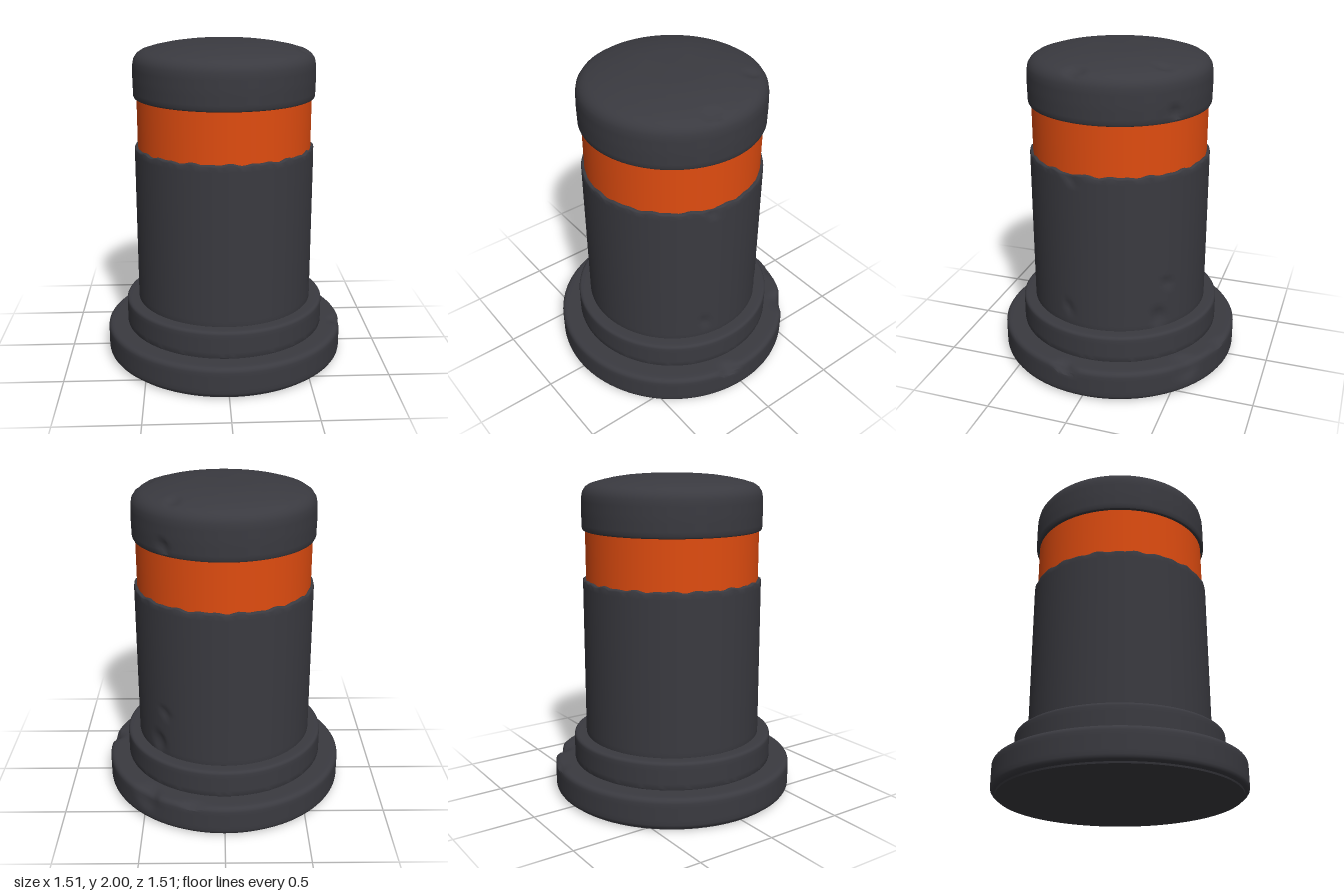
import * as THREE from 'three';
import { mergeVertices, toCreasedNormals } from 'three/addons/utils/BufferGeometryUtils.js';

const SEGMENTS = 128;

// Drum outline from the axis at the bottom to the axis at the top, with rounded rims
function drumProfile(r, y0, y1, bevel) {
  const pts = [[0, y0]];
  for (let i = 0; i <= 4; i++) {
    const a = (i / 4) * Math.PI / 2;
    pts.push([r - bevel + bevel * Math.sin(a), y0 + bevel - bevel * Math.cos(a)]);
  }
  for (let i = 0; i <= 4; i++) {
    const a = (i / 4) * Math.PI / 2;
    pts.push([r - bevel + bevel * Math.cos(a), y1 - bevel + bevel * Math.sin(a)]);
  }
  pts.push([0, y1]);
  return pts;
}

// Split long profile edges so that chips have vertices to move
function subdivide(pts, step = 0.03) {
  const out = [];
  pts.forEach(([x, y], i) => {
    if (i > 0) {
      const [px, py] = pts[i - 1];
      const n = Math.ceil(Math.hypot(x - px, y - py) / step);
      for (let k = 1; k < n; k++) out.push(new THREE.Vector2(px + (x - px) * k / n, py + (y - py) * k / n));
    }
    out.push(new THREE.Vector2(x, y));
  });
  return out;
}

// Each chip: at = centre, size = reach, push = displacement at the centre
function worn(profile, chips = [], rimWobble = null) {
  let geo = new THREE.LatheGeometry(subdivide(profile), SEGMENTS);
  geo.deleteAttribute('uv');
  geo.deleteAttribute('normal');
  geo = mergeVertices(geo, 1e-4);
  const pos = geo.attributes.position;
  const p = new THREE.Vector3();
  for (let i = 0; i < pos.count; i++) {
    p.fromBufferAttribute(pos, i);
    const start = p.clone();
    for (const { at, size, push } of chips) {
      const d = Math.hypot(...['x', 'y', 'z'].map((k, j) => (start[k] - at[j]) / size[j]));
      if (d < 1) p.addScaledVector(new THREE.Vector3(...push), Math.min(1, 1.5 * (1 - d)));
    }
    if (rimWobble && Math.abs(start.y - rimWobble) < 0.012) {
      const a = Math.atan2(start.z, start.x);
      p.y += 0.004 * (Math.sin(a * 17) + Math.sin(a * 29 + 1));
    }
    pos.setXYZ(i, p.x, p.y, p.z);
  }
  return toCreasedNormals(geo, 0.7);
}

export function createModel() {
  const group = new THREE.Group();
  const charcoal = new THREE.MeshStandardMaterial({ color: 0x3a3a40 });
  charcoal.name = 'charcoal';
  const orange = new THREE.MeshStandardMaterial({ color: 0xe04c10 });
  orange.name = 'orange';

  const add = (name, geometry, material) => {
    const mesh = new THREE.Mesh(geometry, material);
    mesh.name = name;
    group.add(mesh);
    return mesh;
  };

  // Stepped foot
  add('basePlate', worn(drumProfile(0.757, 0.01, 0.2, 0.03), [
    { at: [0.48, 0.17, -0.58], size: [0.1, 0.1, 0.1], push: [-0.03, -0.02, -0.0] },
    { at: [0.75, 0.19, 0.11], size: [0.08, 0.04, 0.08], push: [-0.025, -0.02, 0] },
    { at: [0.2, 0.2, -0.72], size: [0.1, 0.03, 0.04], push: [0, -0.012, 0.01] },
  ]), charcoal).scale.y = 1;
  add('baseUnderside', new THREE.CylinderGeometry(0.735, 0.725, 0.03, 96).translate(0, 0.015, 0), charcoal);
  add('baseStep', worn(drumProfile(0.632, 0.19, 0.37, 0.02)), charcoal);

  // Post
  add('post', worn(drumProfile(0.555, 0.36, 1.36, 0.012), [
    { at: [0.53, 0.48, 0.15], size: [0.06, 0.06, 0.03], push: [-0.015, 0, 0] },
    { at: [0.4, 0.44, -0.38], size: [0.07, 0.08, 0.06], push: [-0.012, 0, 0.012] },
    { at: [0.54, 1.34, 0.12], size: [0.05, 0.05, 0.05], push: [-0.015, -0.01, 0] },
    { at: [0.36, 0.66, -0.42], size: [0.05, 0.04, 0.05], push: [-0.01, 0, 0.01] },
  ], 1.36), charcoal);

  // Bright band recessed between post and cap
  add('band', new THREE.CylinderGeometry(0.536, 0.536, 0.36, 64, 1, true).translate(0, 1.51, 0), orange);

  // Domed cap
  add('cap', worn([
    [0, 1.66], [0.54, 1.66], [0.55, 1.664], [0.555, 1.675], [0.557, 1.77], [0.555, 1.86], [0.548, 1.895],
    [0.53, 1.922], [0.5, 1.942], [0.44, 1.96], [0.36, 1.977], [0.28, 1.989], [0.2, 1.996], [0, 2],
  ], [
    { at: [0.29, 1.98, -0.36], size: [0.06, 0.06, 0.08], push: [0, -0.015, 0] },
    { at: [0.48, 1.94, 0.1], size: [0.05, 0.06, 0.08], push: [-0.01, -0.015, 0] },
    { at: [0.34, 1.72, -0.43], size: [0.05, 0.05, 0.05], push: [-0.01, 0, 0.01] },
  ]), charcoal);

  return group;
}
